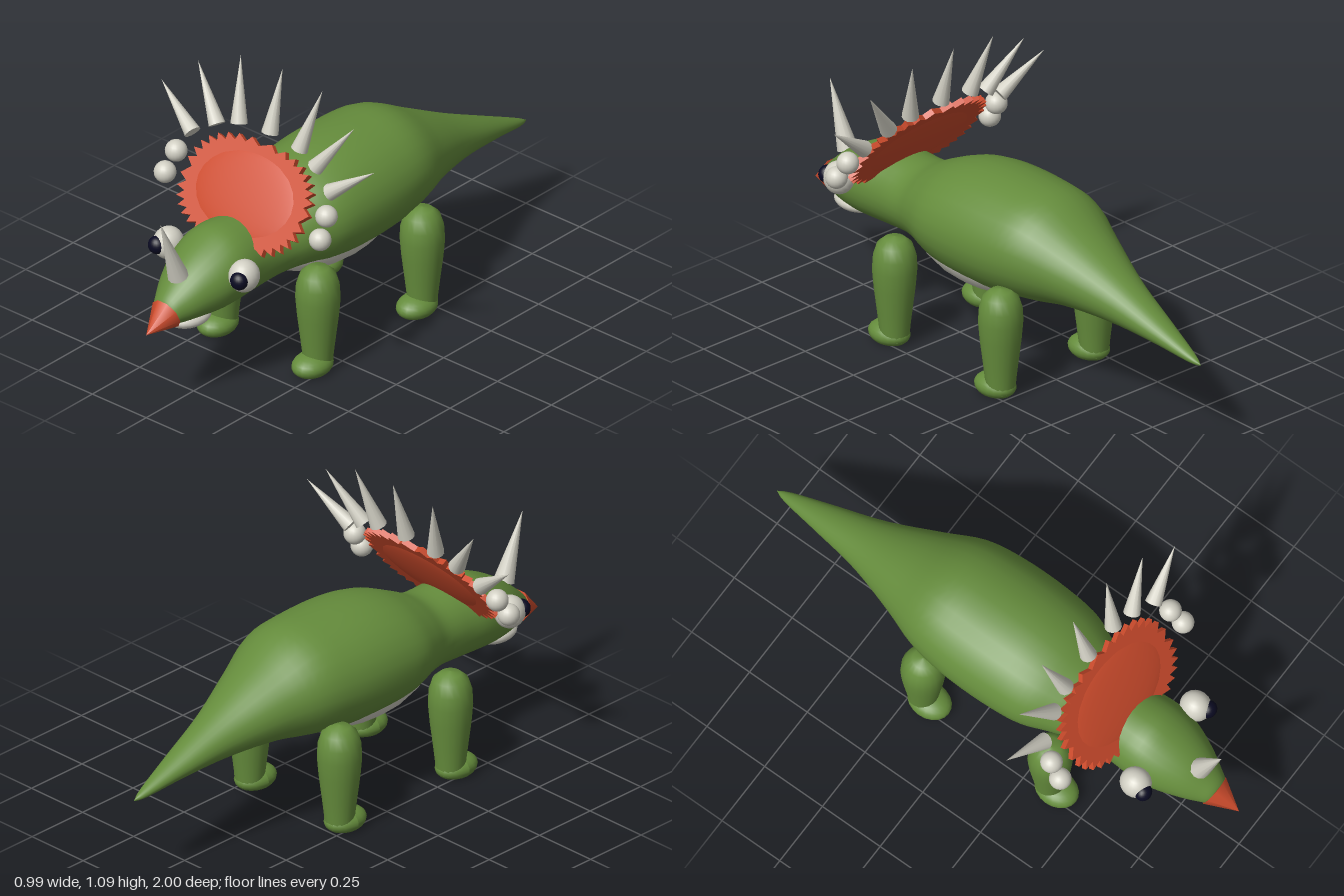
import * as THREE from 'three';

const mat = (name, color) => {
  const m = new THREE.MeshStandardMaterial({ color });
  m.name = name;
  return m;
};

// Smooth closed skin through elliptical sections [z, bottom, top, halfWidth]
function loft(sections, rows, sides) {
  const centre = new THREE.CatmullRomCurve3(sections.map(s => new THREE.Vector3(s[1], s[2], s[0])), false, 'centripetal');
  const width = new THREE.CatmullRomCurve3(sections.map(s => new THREE.Vector3(s[3], 0, s[0])), false, 'centripetal');
  const pos = [], idx = [];
  for (let i = 0; i <= rows; i++) {
    const c = centre.getPoint(i / rows), w = width.getPoint(i / rows).x;
    for (let j = 0; j < sides; j++) {
      const a = (j / sides) * Math.PI * 2;
      pos.push(w * Math.cos(a), (c.x + c.y) / 2 + ((c.y - c.x) / 2) * Math.sin(a), c.z);
      if (i < rows) {
        const k = (j + 1) % sides, p = i * sides, q = p + sides;
        idx.push(p + j, p + k, q + j, p + k, q + k, q + j);
      }
    }
  }
  const g = new THREE.BufferGeometry();
  g.setAttribute('position', new THREE.Float32BufferAttribute(pos, 3));
  g.setIndex(idx);
  g.computeVertexNormals();
  return g;
}

export function createModel() {
  const model = new THREE.Group();
  const green = mat('skin green', 0x658c3c);
  const red = mat('frill red', 0xcc4b2c);
  const ivory = mat('ivory', 0xd2d0c4);
  const navy = mat('pupil navy', 0x0a0a22);

  const add = (name, geo, material, x = 0, y = 0, z = 0, parent = model) => {
    const m = new THREE.Mesh(geo, material);
    m.name = name;
    m.position.set(x, y, z);
    parent.add(m);
    return m;
  };
  const ball = (name, material, p, r) => {
    const m = add(name, new THREE.SphereGeometry(1, 20, 14), material, ...p);
    m.scale.set(...r);
    return m;
  };
  // Cone from the centre of its base to its tip
  const spike = (name, material, base, tip, r, sides = 12) => {
    const a = new THREE.Vector3(...base), b = new THREE.Vector3(...tip);
    const d = b.clone().sub(a);
    const m = add(name, new THREE.ConeGeometry(r, d.length(), sides), material);
    m.position.copy(a).add(b).multiplyScalar(0.5);
    m.quaternion.setFromUnitVectors(new THREE.Vector3(0, 1, 0), d.normalize());
    return m;
  };

  // Tail, trunk, neck and head in one skin
  add('body', loft([
    [-1, 0.333, 0.337, 0], [-0.97, 0.33, 0.355, 0.015], [-0.8, 0.348, 0.435, 0.055],
    [-0.6, 0.358, 0.53, 0.1], [-0.4, 0.352, 0.635, 0.17], [-0.25, 0.325, 0.712, 0.228],
    [-0.1, 0.305, 0.725, 0.25], [0.1, 0.3, 0.718, 0.25], [0.22, 0.315, 0.69, 0.235],
    [0.32, 0.335, 0.645, 0.195], [0.41, 0.335, 0.603, 0.16], [0.52, 0.325, 0.605, 0.148],
    [0.63, 0.32, 0.608, 0.152], [0.71, 0.32, 0.578, 0.143], [0.8, 0.325, 0.525, 0.11],
    [0.87, 0.33, 0.465, 0.073], [0.91, 0.34, 0.425, 0.045], [0.92, 0.38, 0.385, 0],
  ], 72, 28), green);
  ball('belly', ivory, [0, 0.42, 0.08], [0.2, 0.155, 0.34]);

  // Face
  ball('jaw', ivory, [0, 0.325, 0.78], [0.075, 0.037, 0.092]);
  spike('beak', red, [0, 0.375, 0.893], [0, 0.333, 1], 0.062, 9);
  spike('noseHorn', ivory, [0, 0.5, 0.832], [0, 0.745, 0.925], 0.038);

  // Frill: toothed plate with a shallow dome on both faces
  const frill = new THREE.Group();
  frill.name = 'frill';
  frill.position.set(0, 0.67, 0.472);
  frill.rotation.x = -0.61;
  model.add(frill);
  const outline = [], teeth = 34;
  const soft = v => Math.sign(v) * Math.abs(v) ** (2 / 2.6);
  for (let i = 0; i < teeth * 2; i++) {
    const a = ((i + 0.5) / teeth) * Math.PI, k = i % 2 ? 0.91 : 1.03;
    outline.push(new THREE.Vector2(0.28 * k * soft(Math.cos(a)), 0.19 * k * soft(Math.sin(a))));
  }
  const plate = new THREE.ExtrudeGeometry(new THREE.Shape(outline), { depth: 0.022, bevelEnabled: false });
  add('frillPlate', plate, red, 0, 0, -0.011, frill);
  add('frillDome', new THREE.SphereGeometry(1, 28, 14), red, 0, 0, 0, frill).scale.set(0.25, 0.17, 0.022);

  // Crown of spikes: [base x, base y, base z, tip x, tip y]
  const crown = [[0, 0.865, 0.348, 0, 1.095], [0.14, 0.853, 0.352, 0.19, 1.08],
    [0.228, 0.822, 0.368, 0.363, 1.005], [0.318, 0.768, 0.395, 0.495, 0.897]];
  // Leg outline from hip down to ankle
  const legProfile = [[0.052, 0.02], [0.056, 0.07], [0.063, 0.13], [0.074, 0.22], [0.08, 0.29],
    [0.077, 0.34], [0.063, 0.385], [0.038, 0.407], [0, 0.415]].map(p => new THREE.Vector2(...p));

  for (const s of [1, -1]) {
    const side = s > 0 ? 'left' : 'right';
    crown.forEach(([x, y, z, tx, ty], i) => {
      if (i || s > 0) spike(side + 'CrownSpike' + i, ivory, [s * x, y, z], [s * tx, ty, z - 0.29 * (ty - y)], 0.031);
    });
    ball(side + 'LowerBead', ivory, [s * 0.36, 0.635, 0.492], [0.04, 0.04, 0.04]);
    ball(side + 'UpperBead', ivory, [s * 0.349, 0.705, 0.446], [0.04, 0.04, 0.04]);
    ball(side + 'Eye', ivory, [s * 0.176, 0.503, 0.683], [0.054, 0.06, 0.058]);
    ball(side + 'Pupil', navy, [s * 0.191, 0.506, 0.727], [0.033, 0.033, 0.03]);

    for (const [end, z] of [['Front', 0.345], ['Rear', -0.205]]) {
      add(side + end + 'Leg', new THREE.LatheGeometry(legProfile, 20), green, s * 0.22, 0, z);
      // Foot: rounded on top, flattened sole
      const foot = new THREE.SphereGeometry(1, 20, 14).scale(0.066, 0.044, 0.084);
      const p = foot.attributes.position;
      for (let i = 0; i < p.count; i++) p.setY(i, Math.max(p.getY(i), -0.03));
      foot.computeVertexNormals();
      add(side + end + 'Foot', foot, green, s * 0.22, 0.032, z + 0.028);
    }
  }
  return model;
}
